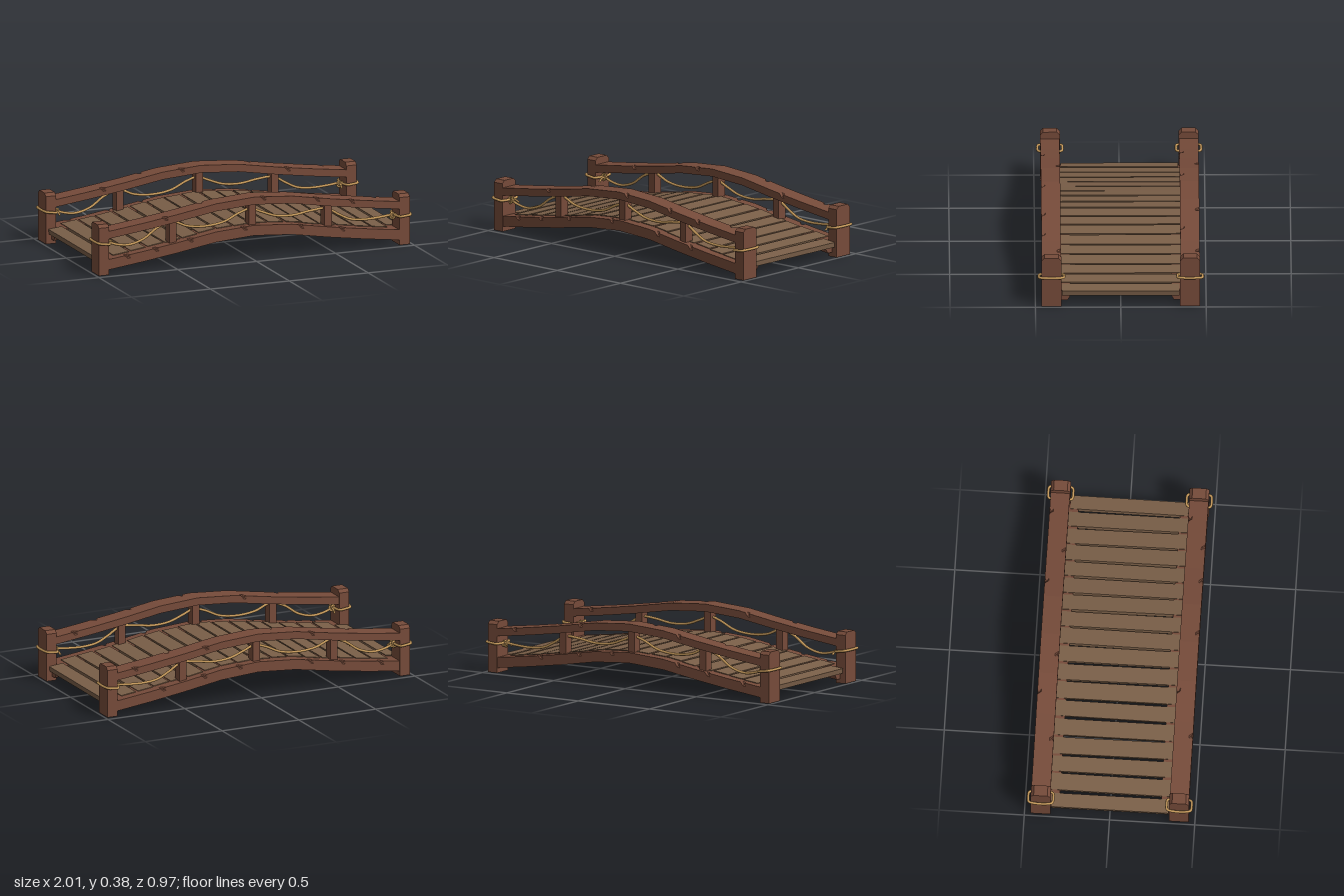
import * as THREE from 'three';
import { mergeVertices } from 'three/addons/utils/BufferGeometryUtils.js';

const mat = (color) => new THREE.MeshStandardMaterial({ color, flatShading: true });
const beamWood = mat(0x764b3a);
const plankWood = mat(0x7a5f48);
const ropeFibre = new THREE.MeshStandardMaterial({ color: 0xc4985a });

// Arch of the bridge: knots of x and rise above the ends
const KNOTS = [[0, 0.117], [0.24, 0.1], [0.48, 0.06], [0.7, 0.028], [0.92, 0], [1, -0.01]];
function rise(x) {
  const a = Math.abs(x);
  let i = 0;
  while (i < KNOTS.length - 2 && a > KNOTS[i + 1][0]) i++;
  const [x0, y0] = KNOTS[i], [x1, y1] = KNOTS[i + 1];
  return y0 + (y1 - y0) * (a - x0) / (x1 - x0);
}

function add(group, name, geometry, material, x = 0, y = 0, z = 0) {
  const mesh = new THREE.Mesh(geometry, material);
  mesh.name = name;
  mesh.position.set(x, y, z);
  group.add(mesh);
  return mesh;
}

// Skin over a row of equal cross-sections, closed at both ends
function skin(rings) {
  const pos = [];
  const tri = (...pts) => pts.forEach((p) => pos.push(p[0], p[1], p[2]));
  const n = rings[0].length;
  for (let i = 0; i < rings.length - 1; i++) {
    for (let j = 0; j < n; j++) {
      const k = (j + 1) % n;
      const a = rings[i][j], b = rings[i][k], c = rings[i + 1][k], d = rings[i + 1][j];
      tri(a, b, c);
      tri(a, c, d);
    }
  }
  const first = rings[0], last = rings[rings.length - 1];
  for (let j = 1; j < n - 1; j++) {
    tri(first[0], first[j + 1], first[j]);
    tri(last[0], last[j], last[j + 1]);
  }
  const g = new THREE.BufferGeometry();
  g.setAttribute('position', new THREE.Float32BufferAttribute(pos, 3));
  g.computeVertexNormals();
  return g;
}

// Arched timber with chipped upper edges; chips list is [x, 1 outer | -1 inner]
function archedTimber(side, { top, height, inner, outer, chamfer, chips }) {
  const stations = KNOTS.slice(0, 4).flatMap(([x]) => (x ? [[x, 0], [-x, 0]] : [[0, 0]]));
  stations.push([-0.95, 0], [0.95, 0]);
  for (const [x, edge] of chips) stations.push([x - 0.018, 0], [x, edge], [x + 0.018, 0]);
  stations.sort((a, b) => a[0] - b[0]);
  const rings = stations.map(([x, chip]) => {
    const t = top + rise(x), b = t - height, c = 0.024;
    const ring = [
      [t, inner + c], [t, outer - c],
      chip > 0 ? [t - 0.01, outer - 0.012] : [t, outer],
      [t - 0.02, outer], [b, outer], [b, inner + chamfer * 0.6],
      [b + chamfer, inner], [t - 0.02, inner],
      chip < 0 ? [t - 0.01, inner + 0.012] : [t, inner],
    ].map(([y, z]) => [x, y, z * side]);
    return side > 0 ? ring : ring.reverse();
  });
  return skin(rings);
}

function rope(points, closed = false, radius = 0.008) {
  const curve = new THREE.CatmullRomCurve3(points.map((p) => new THREE.Vector3(...p)), closed);
  return new THREE.TubeGeometry(curve, points.length * 8, radius, 8, closed);
}

// Post with clipped upper corners
function postGeometry() {
  const w = 0.058, h = 0.305, c = 0.018;
  const shape = new THREE.Shape([
    [-w, 0], [w, 0], [w, h - c], [w - c, h], [c - w, h], [-w, h - c],
  ].map(([x, y]) => new THREE.Vector2(x, y)));
  const g = new THREE.ExtrudeGeometry(shape, { depth: 0.065, bevelEnabled: false });
  g.translate(0, 0, -0.0325);
  g.rotateY(Math.PI / 2);
  return g;
}

export function createModel() {
  const model = new THREE.Group();
  model.name = 'footbridge';

  // Deck planks following the arch, with slight differences in width
  const deck = new THREE.Group();
  deck.name = 'deck';
  model.add(deck);
  const count = 18, pitch = 0.109;
  for (let i = 0; i < count; i++) {
    const x = (i - (count - 1) / 2) * pitch;
    const slope = Math.atan2(rise(x + 0.05) - rise(x - 0.05), 0.1);
    const atEnd = i === 0 || i === count - 1;
    const width = (atEnd ? 0.084 : 0.097) + 0.004 * Math.sin(i * 2.3);
    const length = atEnd ? 0.69 : 0.8 + 0.012 * Math.sin(i * 1.7);
    const plank = add(deck, 'plank', new THREE.BoxGeometry(width, 0.03, length), plankWood,
      x, 0.081 + rise(x), 0);
    plank.rotation.z = slope + 0.012 * Math.sin(i * 3.1);
    plank.rotation.y = 0.006 * Math.sin(i * 4.7);
  }

  const post = postGeometry();
  for (const side of [1, -1]) {
    const railing = new THREE.Group();
    railing.name = side > 0 ? 'frontRailing' : 'backRailing';
    model.add(railing);
    const z = 0.406 * side;

    // Handrail and supporting beam
    const chips = side > 0
      ? [[-0.56, 1], [-0.3, -1], [0.06, 1], [0.4, 1], [0.62, 1], [0.8, -1]]
      : [[-0.62, -1], [-0.35, 1], [-0.12, -1], [0.34, 1], [0.55, -1], [0.8, 1]];
    add(railing, 'handrail', archedTimber(side, {
      top: 0.263, height: 0.045, inner: 0.35, outer: 0.463, chamfer: 0, chips }), beamWood);
    add(railing, 'beam', archedTimber(side, {
      top: 0.092, height: 0.062, inner: 0.297, outer: 0.46, chamfer: 0.024,
      chips: chips.map(([x]) => [-x, 1]) }), beamWood);

    // Short uprights between beam and handrail
    for (const x of [-0.503, 0, 0.48]) {
      add(railing, 'upright', new THREE.BoxGeometry(0.045, 0.16, 0.06), beamWood,
        x, 0.165 + rise(x), z);
    }

    // End posts, each with a rope loop and a knot
    for (const end of [-1, 1]) {
      const px = 0.953 * end, y = end < 0 ? 0.192 : 0.178;
      add(railing, 'post', post, beamWood, px, 0, z);
      const hx = 0.041, hz = 0.073, tilt = end < 0 ? -0.14 : 0.1;
      const loop = [
        [hx, 0.55], [hx, -0.55], [hx * 0.75, -0.95], [0, -1], [-hx * 0.75, -0.95],
        [-hx, -0.55], [-hx, 0.55], [-hx * 0.75, 0.95], [0, 1], [hx * 0.75, 0.95],
      ].map(([x, k]) => [px + x, y + x * tilt, z + k * hz]);
      add(railing, 'ropeLoop', rope(loop, true), ropeFibre);
      add(railing, 'knot', mergeVertices(new THREE.TorusKnotGeometry(0.013, 0.006, 48, 6)), ropeFibre,
        0.902 * end, y - 0.01, z);
      add(railing, 'ropeTail', rope([
        [0.9 * end, y - 0.008, z], [0.897 * end, y - 0.012, z - 0.03 * side],
        [0.893 * end, y - 0.03, z - 0.056 * side],
      ], false, 0.006), ropeFibre);
    }

    // Rope slung from post to post through the uprights
    const path = [
      [-0.91, 0.188], [-0.85, 0.165], [-0.77, 0.155], [-0.68, 0.18], [-0.59, 0.24], [-0.5, 0.268],
      [-0.4, 0.232], [-0.29, 0.22], [-0.17, 0.235], [-0.07, 0.28], [0, 0.298], [0.07, 0.272],
      [0.16, 0.24], [0.27, 0.232], [0.38, 0.248], [0.48, 0.252], [0.56, 0.208], [0.63, 0.174],
      [0.72, 0.162], [0.82, 0.166], [0.91, 0.176],
    ];
    add(railing, 'rope', rope(path.map(([x, y]) => [x, y, z])), ropeFibre);
  }
  return model;
}
